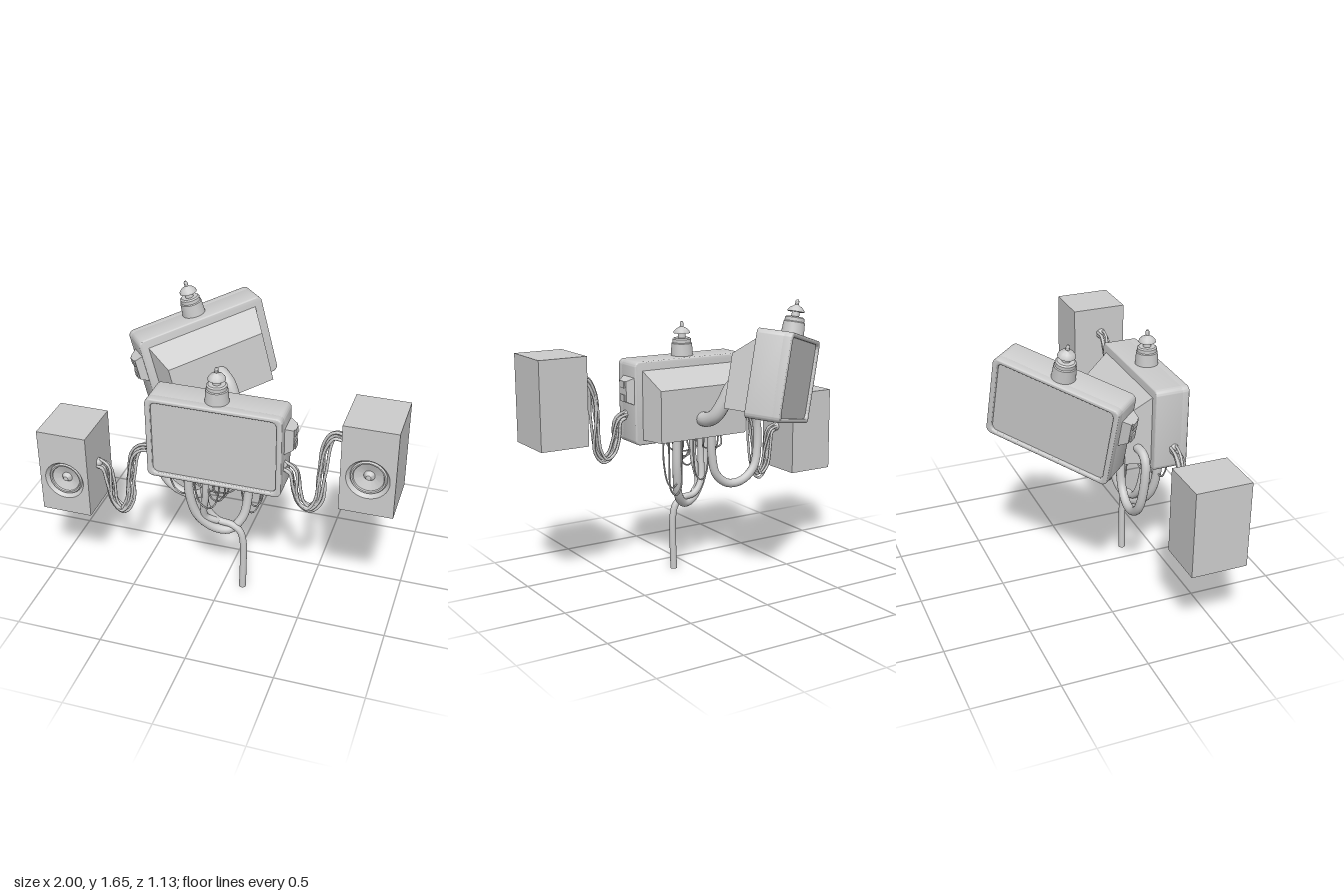
import * as THREE from 'three';
import { toCreasedNormals } from 'three/addons/utils/BufferGeometryUtils.js';

const V = (x, y, z) => new THREE.Vector3(x, y, z);
const grey = new THREE.MeshStandardMaterial({ color: 0xcccccc });
const greyOpen = new THREE.MeshStandardMaterial({ color: 0xcccccc, side: THREE.DoubleSide });

function add(parent, name, geometry, x = 0, y = 0, z = 0, material = grey) {
  const mesh = new THREE.Mesh(geometry, material);
  mesh.name = name;
  mesh.position.set(x, y, z);
  parent.add(mesh);
  return mesh;
}

function roundedRect(path, w, h, r) {
  const x = w / 2, y = h / 2, c = x - r, d = y - r;
  path.moveTo(-c, -y);
  path.lineTo(c, -y).absarc(c, -d, r, -Math.PI / 2, 0);
  path.lineTo(x, d).absarc(c, d, r, 0, Math.PI / 2);
  path.lineTo(-c, y).absarc(-c, d, r, Math.PI / 2, Math.PI);
  path.lineTo(-x, -d).absarc(-c, -d, r, Math.PI, Math.PI * 1.5);
  return path;
}

// Box along z whose far (-z) and near (+z) ends have their own [x0, x1, y0, y1]
function taperedBox(z0, far, z1, near) {
  const g = new THREE.BoxGeometry(2, 2, 2), p = g.attributes.position;
  for (let i = 0; i < p.count; i++) {
    const e = p.getZ(i) < 0 ? far : near;
    p.setXYZ(i, p.getX(i) < 0 ? e[0] : e[1], p.getY(i) < 0 ? e[2] : e[3], p.getZ(i) < 0 ? z0 : z1);
  }
  const flat = g.toNonIndexed();
  flat.computeVertexNormals();
  return flat;
}

function lathe(profile, segments = 32) {
  const g = new THREE.LatheGeometry(profile.map(([r, y]) => new THREE.Vector2(r, y)), segments);
  return toCreasedNormals(g, 0.6);
}

function tube(parent, name, points, radius, segments = 48, sides = 14) {
  const curve = new THREE.CatmullRomCurve3(points.map((p) => V(...p)));
  return add(parent, name, new THREE.TubeGeometry(curve, segments, radius, sides), 0, 0, 0, greyOpen);
}

// Monitor centred on its front casing, screen towards +z
function monitor(name) {
  const group = new THREE.Group();
  group.name = name;
  const b = 0.008;

  // casing with a rounded opening for the screen
  const back = roundedRect(new THREE.Shape(), 0.76 - 2 * b, 0.49 - 2 * b, 0.025);
  const bevel = { bevelEnabled: true, bevelSize: b, bevelThickness: b, bevelSegments: 3, curveSegments: 6 };
  add(group, 'casing', toCreasedNormals(new THREE.ExtrudeGeometry(back, { depth: 0.15, ...bevel }), 0.7), 0, 0, -0.092);
  const rim = roundedRect(new THREE.Shape(), 0.76 - 2 * b, 0.49 - 2 * b, 0.025);
  rim.holes.push(roundedRect(new THREE.Path(), 0.7 + 2 * b, 0.44 + 2 * b, 0.04));
  add(group, 'screenFrame', toCreasedNormals(new THREE.ExtrudeGeometry(rim, { depth: 0.04, ...bevel }), 0.7), 0, 0, 0.052);
  const screen = roundedRect(new THREE.Shape(), 0.72, 0.46, 0.04);
  add(group, 'screen', new THREE.ShapeGeometry(screen, 6), 0, 0, 0.082);

  // sloping rear housing
  add(group, 'rearHousing', taperedBox(-0.24, [-0.29, 0.29, -0.215, 0.09], -0.09, [-0.335, 0.335, -0.215, 0.2]));

  // stepped control block on the side
  const block = add(group, 'sideBlock', taperedBox(0, [-0.065, 0.065, -0.08, 0.08], 0.045, [-0.035, 0.045, -0.06, 0.06]), 0.378, 0.075, -0.025);
  block.rotation.y = Math.PI / 2;
  for (const y of [0.035, 0.115]) add(group, 'sideButton', new THREE.BoxGeometry(0.012, 0.04, 0.05), 0.424, y, -0.028);

  // antenna insulator on top
  add(group, 'antennaBase', lathe([[0, 0], [0.066, 0], [0.061, 0.075], [0.056, 0.08], [0.056, 0.1], [0.047, 0.107], [0, 0.107]]), 0, 0.242, 0.01);
  add(group, 'antennaStalk', new THREE.CylinderGeometry(0.02, 0.024, 0.05, 20), 0, 0.365, 0.01);
  add(group, 'antennaCap', lathe([[0, 0.135], [0.049, 0.135], [0.047, 0.145], [0.034, 0.16], [0.015, 0.17], [0.011, 0.175],
    [0.011, 0.195], [0.006, 0.204], [0, 0.205]]), 0, 0.242, 0.01);
  return group;
}

// Speaker box centred on its own middle, driver towards +z
function speaker(name) {
  const group = new THREE.Group();
  group.name = name;
  const w = 0.29, h = 0.51, depth = 0.325, plate = 0.05, cy = -0.042;
  add(group, 'cabinet', new THREE.BoxGeometry(w, h, depth - plate), 0, 0, -plate / 2);
  const front = new THREE.Shape([[-1, -1], [1, -1], [1, 1], [-1, 1]].map(([x, y]) => new THREE.Vector2(x * w / 2, y * h / 2)));
  front.holes.push(new THREE.Path().absarc(0, cy, 0.115, 0, Math.PI * 2, true));
  const frontGeo = new THREE.ExtrudeGeometry(front, { depth: plate, bevelEnabled: false, curveSegments: 24 });
  add(group, 'frontPanel', toCreasedNormals(frontGeo, 0.6), 0, 0, depth / 2 - plate);
  const cone = lathe([[0, -0.012], [0.014, -0.016], [0.025, -0.032], [0.03, -0.04], [0.08, -0.022], [0.084, -0.014], [0.092, -0.012],
    [0.098, -0.022], [0.115, 0]], 48);
  add(group, 'speakerCone', cone, 0, cy, depth / 2, greyOpen).rotation.x = Math.PI / 2;
  return group;
}

// Bundle of strands twisting around a path in the xy plane
function cableBundle(parent, name, points, z) {
  const group = new THREE.Group();
  group.name = name;
  parent.add(group);
  const path = new THREE.CatmullRomCurve3(points.map(([x, y]) => V(x, y, z)));
  const strands = 7, steps = 36;
  for (let s = 0; s < strands; s++) {
    const pts = [];
    for (let i = 0; i <= steps; i++) {
      const t = i / steps, p = path.getPointAt(t), d = path.getTangentAt(t);
      const a = (s / strands) * Math.PI * 2 + 1.4 * Math.sin(5 * t + s);
      const r = 0.021 + 0.006 * Math.sin(9 * t + 2 * s);
      pts.push([p.x - d.y * r * Math.cos(a), p.y + d.x * r * Math.cos(a), p.z + r * Math.sin(a)]);
    }
    tube(group, 'strand', pts, 0.0085, 72, 6);
  }
  for (const p of [points[0], points[points.length - 1]]) {
    add(group, 'cablePlug', new THREE.SphereGeometry(0.026, 16, 12), p[0], p[1], z);
  }
}

export function createModel() {
  const model = new THREE.Group();
  model.name = 'monitorCluster';

  const frontMonitor = monitor('frontMonitor');
  frontMonitor.position.set(0, 1.045, 0.39);
  model.add(frontMonitor);

  // rear monitor is turned away, rolled and tipped
  const rearMonitor = monitor('rearMonitor');
  const side = V(-0.747, -0.2, 0.64).normalize();
  const face = side.clone().cross(V(-0.22, 0.97, 0.06)).normalize();
  const up = face.clone().cross(side);
  rearMonitor.quaternion.setFromRotationMatrix(new THREE.Matrix4().makeBasis(side, up, face));
  rearMonitor.position.set(-0.287, 1.217, -0.238);
  model.add(rearMonitor);

  // speakers hang at different heights
  for (const [name, x, y] of [['rightSpeaker', -0.855, 0.752], ['leftSpeaker', 0.855, 1.107]]) {
    const box = speaker(name);
    box.position.set(x, y, 0.398);
    model.add(box);
  }
  cableBundle(model, 'rightCables', [[-0.71, 0.77], [-0.665, 0.75], [-0.645, 0.65], [-0.625, 0.52], [-0.575, 0.465],
    [-0.525, 0.54], [-0.51, 0.7], [-0.49, 0.86], [-0.44, 0.92], [-0.37, 0.93]], 0.41);
  cableBundle(model, 'leftCables', [[0.37, 0.97], [0.425, 0.94], [0.445, 0.82], [0.475, 0.74], [0.525, 0.71],
    [0.575, 0.77], [0.59, 0.95], [0.6, 1.12], [0.64, 1.2], [0.71, 1.2]], 0.41);

  // arm between the monitors and thick conduits below
  tube(model, 'rearArm', [[0.01, 0.945, 0.17], [0.01, 0.95, 0.1], [-0.005, 0.985, 0.035], [-0.04, 1.07, -0.005],
    [-0.075, 1.15, -0.025], [-0.115, 1.185, -0.045], [-0.16, 1.195, -0.08]], 0.043);
  tube(model, 'frontConduit', [[-0.17, 0.82, 0.41], [-0.165, 0.66, 0.41], [-0.125, 0.51, 0.39], [-0.04, 0.415, 0.35],
    [0.04, 0.4, 0.32], [0.105, 0.47, 0.28], [0.13, 0.62, 0.25], [0.13, 0.85, 0.25]], 0.026);
  tube(model, 'sideConduit', [[-0.3, 0.93, 0.22], [-0.38, 0.925, 0.22], [-0.415, 0.88, 0.22], [-0.42, 0.72, 0.21],
    [-0.385, 0.59, 0.2], [-0.3, 0.52, 0.2], [-0.2, 0.515, 0.205], [-0.12, 0.58, 0.21], [-0.09, 0.7, 0.21], [-0.085, 0.86, 0.21]], 0.026);
  tube(model, 'hangingCable', [[-0.1, 0.82, 0.36], [-0.1, 0.65, 0.35], [-0.085, 0.52, 0.33], [-0.03, 0.45, 0.32], [0.05, 0.435, 0.32],
    [0.1, 0.4, 0.32], [0.12, 0.33, 0.32], [0.122, 0.18, 0.32], [0.117, 0, 0.32]], 0.02);
  tube(model, 'middleConduit', [[-0.07, 0.82, 0.4], [-0.075, 0.66, 0.4], [-0.09, 0.5, 0.37], [-0.03, 0.45, 0.33]], 0.02);

  // thin slack wires: start x, end x, lowest y, start z, end z
  const wires = [[-0.27, -0.14, 0.66, 0.42, 0.4], [-0.25, -0.05, 0.72, 0.36, 0.24], [-0.12, 0.01, 0.6, 0.44, 0.42],
    [-0.06, 0.05, 0.65, 0.4, 0.43], [-0.02, 0.08, 0.69, 0.38, 0.26], [-0.15, 0.12, 0.7, 0.41, 0.39],
    [0.09, 0.2, 0.48, 0.26, 0.22], [0.11, 0.22, 0.53, 0.23, 0.25], [-0.09, 0.02, 0.55, 0.25, 0.24]];
  for (const [x0, x1, low, z0, z1] of wires) {
    const mid = (x0 + x1) / 2, zm = (z0 + z1) / 2, w = (x1 - x0) * 0.3, h = 0.85 - low;
    tube(model, 'slackWire', [[x0, 0.85, z0], [x0, 0.85 - h * 0.5, z0], [mid - w, low + h * 0.1, zm], [mid, low, zm],
      [mid + w, low + h * 0.1, zm], [x1, 0.85 - h * 0.5, z1], [x1, 0.85, z1]], 0.005, 40, 6);
  }
  return model;
}
